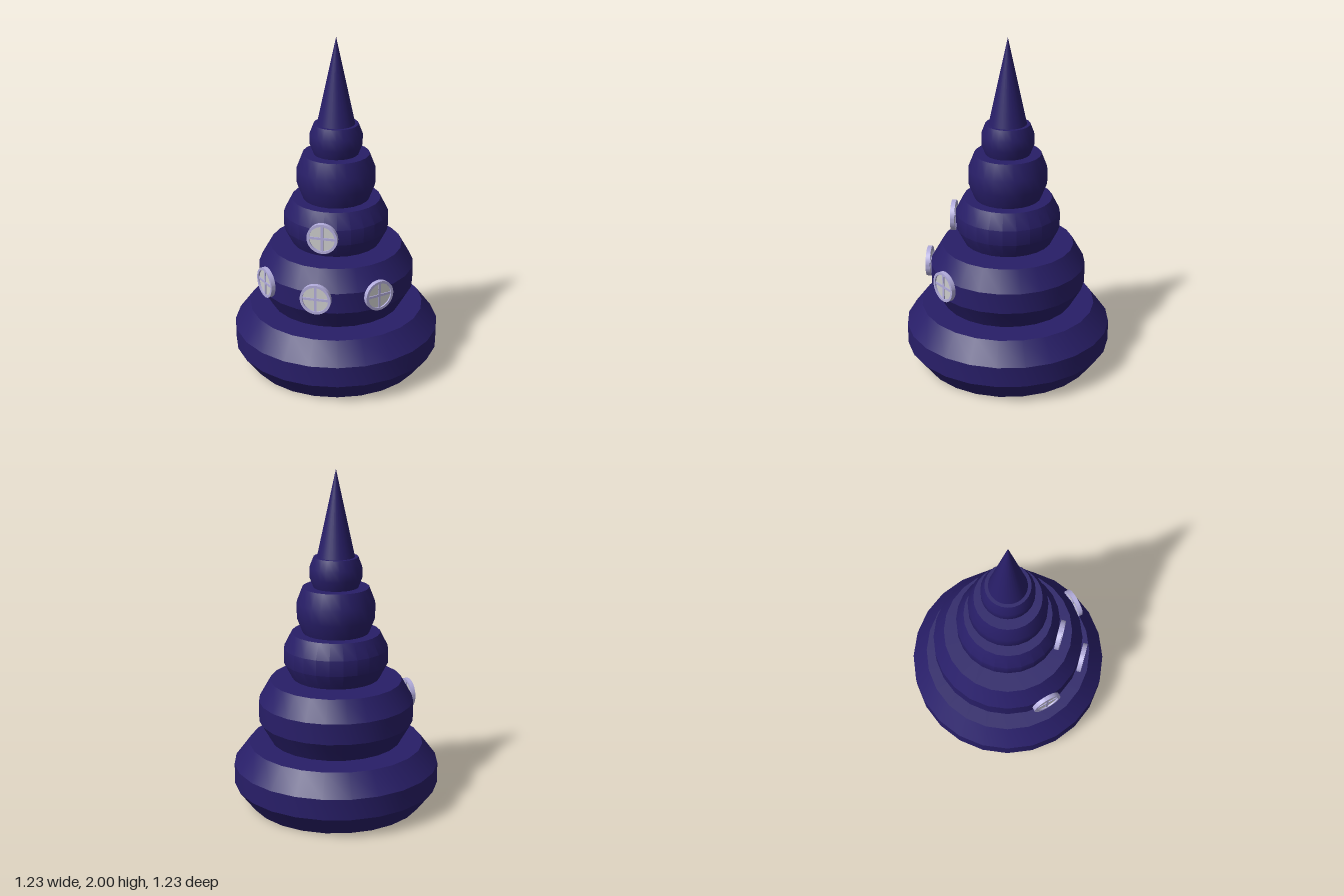
import * as THREE from 'three';
import { toCreasedNormals } from 'three/addons/utils/BufferGeometryUtils.js';

const SIDES = 24;
const bodyMaterial = new THREE.MeshStandardMaterial({ color: 0x281e68 });
const frameMaterial = new THREE.MeshStandardMaterial({ color: 0xb2acdc });
const paneMaterial = new THREE.MeshStandardMaterial({ color: 0xcccccc });

function addMesh(parent, name, geometry, material) {
  const mesh = new THREE.Mesh(geometry, material);
  mesh.name = name;
  parent.add(mesh);
  return mesh;
}

// Bevelled ring with a straight bore: widest over its middle third
function tierGeometry(radius, height) {
  const profile = [
    [0.465, 0], [0.848, 0], [1, 1 / 3], [1, 2 / 3], [0.848, 1], [0.465, 1], [0.465, 0],
  ].map(([r, y]) => new THREE.Vector2(r * radius, y * height));
  return toCreasedNormals(new THREE.LatheGeometry(profile, SIDES), 0.5);
}

// Round window facing +z: rim, pane and crossed glazing bars
function createWindow() {
  const radius = 0.09, inner = 0.075, depth = 0.026;
  const group = new THREE.Group();
  group.name = 'window';

  const rim = new THREE.Shape().absarc(0, 0, radius, 0, Math.PI * 2);
  rim.holes.push(new THREE.Path().absarc(0, 0, inner, 0, Math.PI * 2, true));
  const rimGeometry = new THREE.ExtrudeGeometry(rim, { depth, bevelEnabled: false, curveSegments: 32 });
  rimGeometry.translate(0, 0, -depth / 2);
  addMesh(group, 'windowRim', toCreasedNormals(rimGeometry, 0.5), frameMaterial);

  const pane = new THREE.CylinderGeometry(inner, inner, 0.008, 32).rotateX(Math.PI / 2);
  addMesh(group, 'windowPane', pane, paneMaterial);

  const barLength = inner * 2 + 0.01;
  addMesh(group, 'horizontalBar', new THREE.BoxGeometry(barLength, 0.014, 0.018), frameMaterial);
  addMesh(group, 'verticalBar', new THREE.BoxGeometry(0.014, barLength, 0.018), frameMaterial);
  return group;
}

export function createModel() {
  const model = new THREE.Group();
  model.name = 'tieredTower';

  // Stacked tiers: radius, bottom, top
  const tiers = [
    [0.613, 0, 0.372],
    [0.46, 0.39, 0.759],
    [0.307, 0.775, 1.048],
    [0.23, 1.048, 1.318],
    [0.153, 1.315, 1.496],
  ];
  tiers.forEach(([radius, bottom, top], i) => {
    const tier = addMesh(model, `tier${i + 1}`, tierGeometry(radius, top - bottom), bodyMaterial);
    tier.position.y = bottom;
  });

  // Pointed spire
  const spire = addMesh(model, 'spire', new THREE.ConeGeometry(0.11, 0.506, 32), bodyMaterial);
  spire.position.y = 1.747;

  // Windows: angle around the tower, distance from the axis, height
  const windows = [
    [0, 0.473, 0.605],
    [Math.PI / 4, 0.473, 0.605],
    [-Math.PI / 4, 0.473, 0.605],
    [0, 0.32, 0.913],
  ];
  for (const [angle, distance, y] of windows) {
    const pane = createWindow();
    pane.position.set(Math.sin(angle) * distance, y, Math.cos(angle) * distance);
    pane.rotation.y = angle;
    model.add(pane);
  }
  return model;
}
